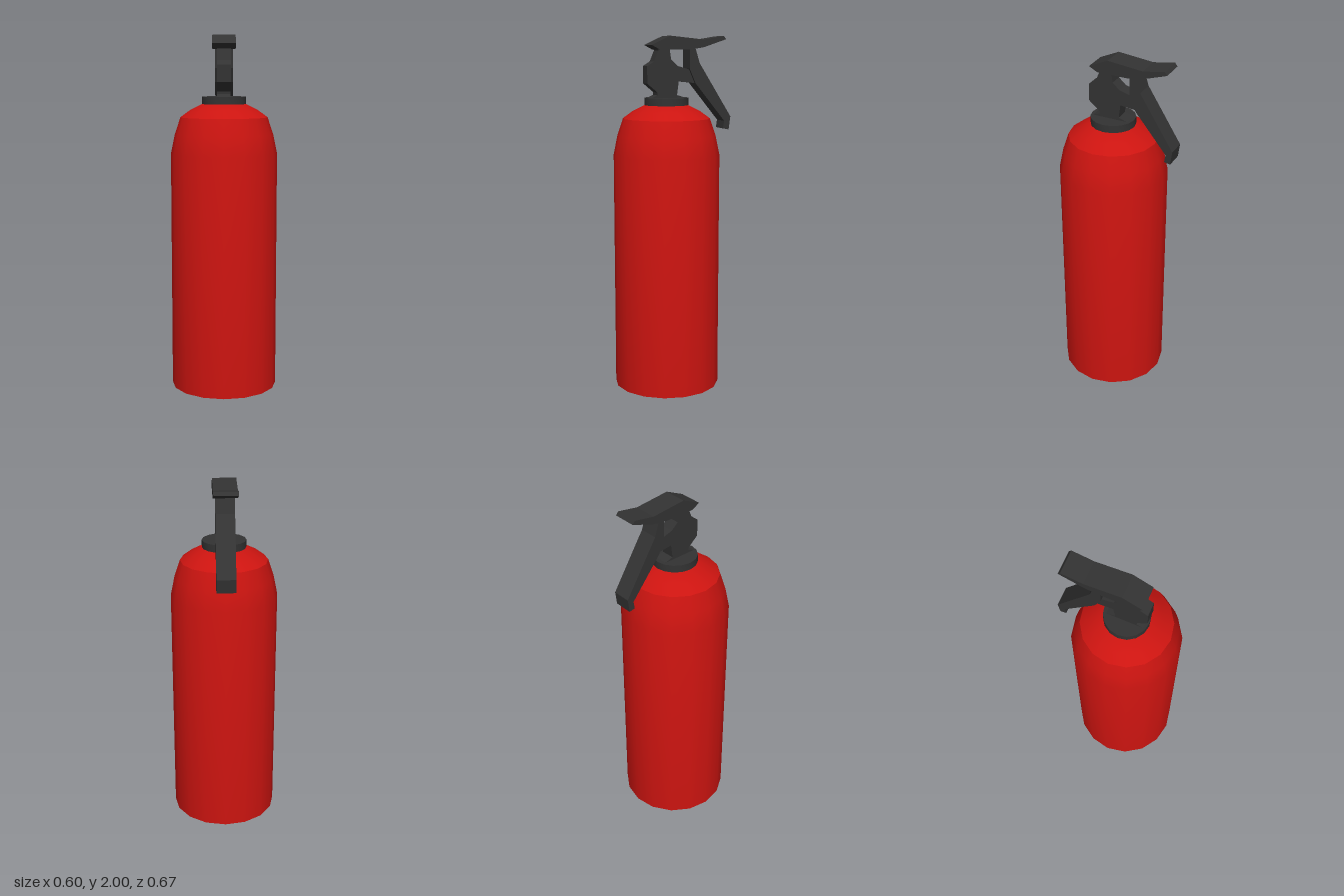
import * as THREE from 'three';
import { toCreasedNormals } from 'three/addons/utils/BufferGeometryUtils.js';

const RED = new THREE.MeshStandardMaterial({ color: 0xcc1410 });
const BLACK = new THREE.MeshStandardMaterial({ color: 0x333333 });
const AXIS_Z = 0.035; // the tank sits slightly forward of the handles' overhang

// 16-sided turned part from [radius, height] points
function turned(name, points, material) {
  const lathe = new THREE.LatheGeometry(points.map(([r, y]) => new THREE.Vector2(r, y)), 16);
  const mesh = new THREE.Mesh(toCreasedNormals(lathe, 0.6), material);
  mesh.name = name;
  mesh.position.z = AXIS_Z;
  return mesh;
}

// Side profile of [z, y] points, given a width centred on x = 0
function plate(name, points, width) {
  const shape = new THREE.Shape(points.map(([z, y]) => new THREE.Vector2(-z, y)));
  const geometry = new THREE.ExtrudeGeometry(shape, { depth: width, bevelEnabled: false });
  geometry.translate(0, 0, -width / 2);
  geometry.rotateY(Math.PI / 2);
  const mesh = new THREE.Mesh(geometry, BLACK);
  mesh.name = name;
  return mesh;
}

export function createModel() {
  const model = new THREE.Group();
  model.name = 'fireExtinguisher';

  // Tank with recessed base and rounded shoulder
  model.add(turned('tank', [
    [0, 0.035], [0.265, 0.035], [0.265, 0], [0.3, 0], [0.3, 1.34],
    [0.277, 1.45], [0.245, 1.545], [0.19, 1.585], [0.12, 1.62], [0, 1.62],
  ], RED));

  // Neck collar
  model.add(turned('collar', [[0, 1.615], [0.123, 1.615], [0.123, 1.66], [0, 1.66]], BLACK));

  // Valve block with its sloping foot and rear arm
  model.add(plate('valve', [
    [0.15, 1.655], [0.1, 1.675], [0.1, 1.69], [0.16, 1.74], [0.16, 1.835], [0.12, 1.86],
    [0.095, 1.92], [0.1, 1.94], [0.03, 1.94], [0.02, 1.87], [-0.02, 1.835], [-0.09, 1.815],
    [-0.12, 1.74], [-0.025, 1.75], [-0.015, 1.675], [-0.08, 1.655],
  ], 0.075));

  // Upper squeeze lever
  model.add(plate('lever', [
    [0.143, 1.95], [0.035, 2], [-0.165, 1.98], [-0.285, 2], [-0.298, 1.982],
    [-0.165, 1.938], [-0.085, 1.925], [0.095, 1.925],
  ], 0.13));

  // Lower carrying handle
  model.add(plate('handle', [
    [-0.085, 1.93], [-0.12, 1.93], [-0.145, 1.85], [-0.335, 1.55], [-0.325, 1.475],
    [-0.29, 1.482], [-0.297, 1.525], [-0.12, 1.74], [-0.085, 1.82],
  ], 0.104));

  return model;
}
